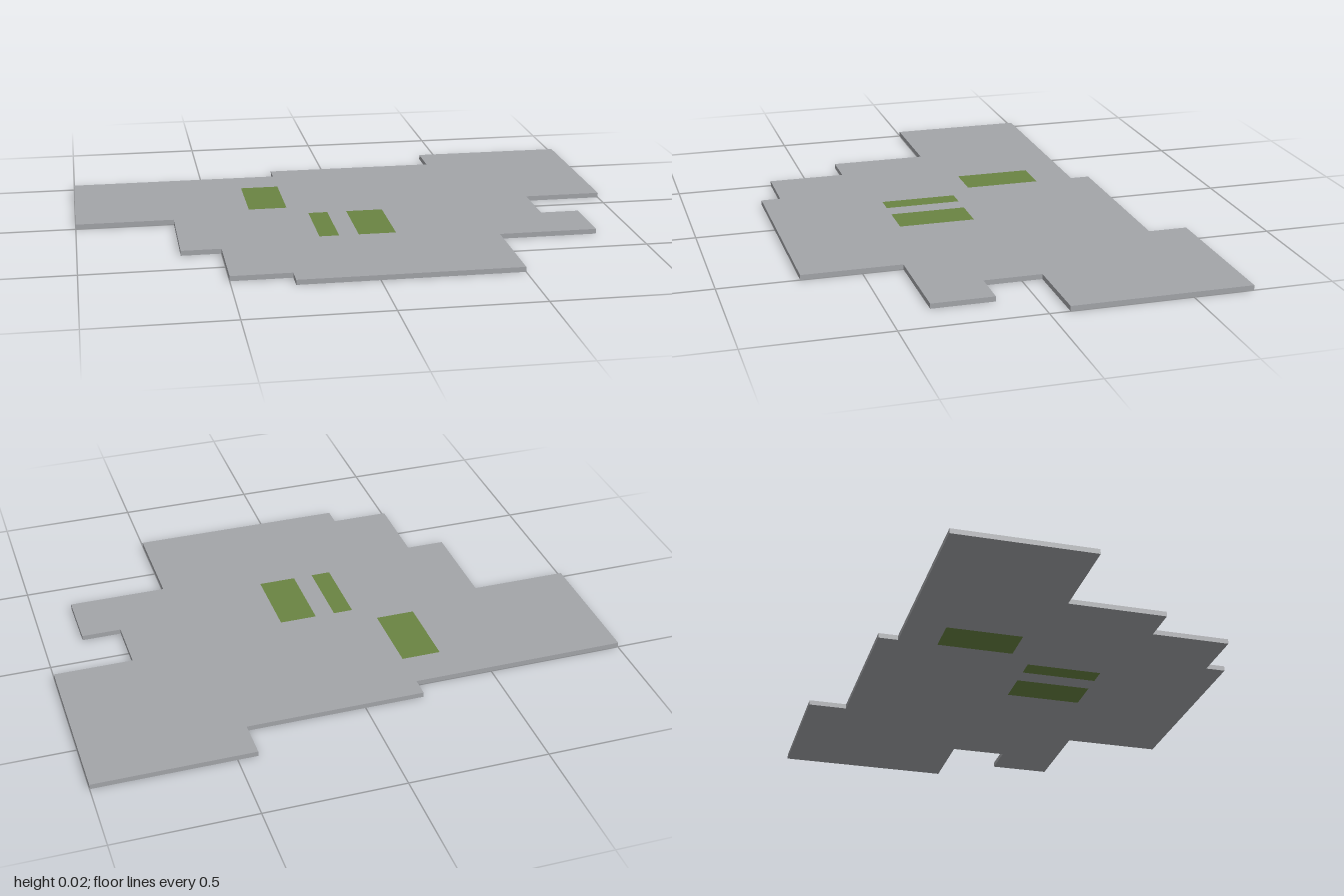
import * as THREE from 'three';

const CELL = 1 / 14;      // plan grid step
const THICKNESS = 0.018;

// Slab outline in grid cells: [x, z]
const OUTLINE = [
  [-14, -7], [-3, -7], [-3, -8], [6, -8], [6, -10], [14, -10], [14, -1],
  [10, -1], [10, 1.9], [12, 1.9], [12, 5], [7, 5], [7, 10], [-4, 10],
  [-4, 9], [-7, 9], [-7, 5], [-9, 5], [-9, 0], [-14, 0],
];

// Grass beds in grid cells: [x0, z0, x1, z1]
const BEDS = [
  [-5, -5, -3, -1.1],
  [-2, 0, -1, 3.9],
  [0, 0, 1.9, 3.9],
];

const toPoints = (cells) => cells.map(([x, z]) => new THREE.Vector2(x * CELL, -z * CELL));
const corners = ([x0, z0, x1, z1]) => toPoints([[x0, z0], [x1, z0], [x1, z1], [x0, z1]]);

// Extrude a plan shape upward from the ground
function slab(shape, material, name) {
  const geometry = new THREE.ExtrudeGeometry(shape, { depth: THICKNESS, bevelEnabled: false });
  geometry.rotateX(-Math.PI / 2);
  const mesh = new THREE.Mesh(geometry, material);
  mesh.name = name;
  return mesh;
}

export function createModel() {
  const concrete = new THREE.MeshStandardMaterial({ color: 0xa3a5a9 });
  concrete.name = 'concreteGrey';
  const grass = new THREE.MeshStandardMaterial({ color: 0x6a8442 });
  grass.name = 'grassGreen';

  const group = new THREE.Group();
  group.name = 'floorPlan';

  // Stepped floor with openings for the beds
  const floor = new THREE.Shape(toPoints(OUTLINE));
  floor.holes = BEDS.map((bed) => new THREE.Path(corners(bed)));
  group.add(slab(floor, concrete, 'floor'));

  // Grass beds flush with the floor
  BEDS.forEach((bed, i) => {
    group.add(slab(new THREE.Shape(corners(bed)), grass, `grassBed${i + 1}`));
  });

  return group;
}
